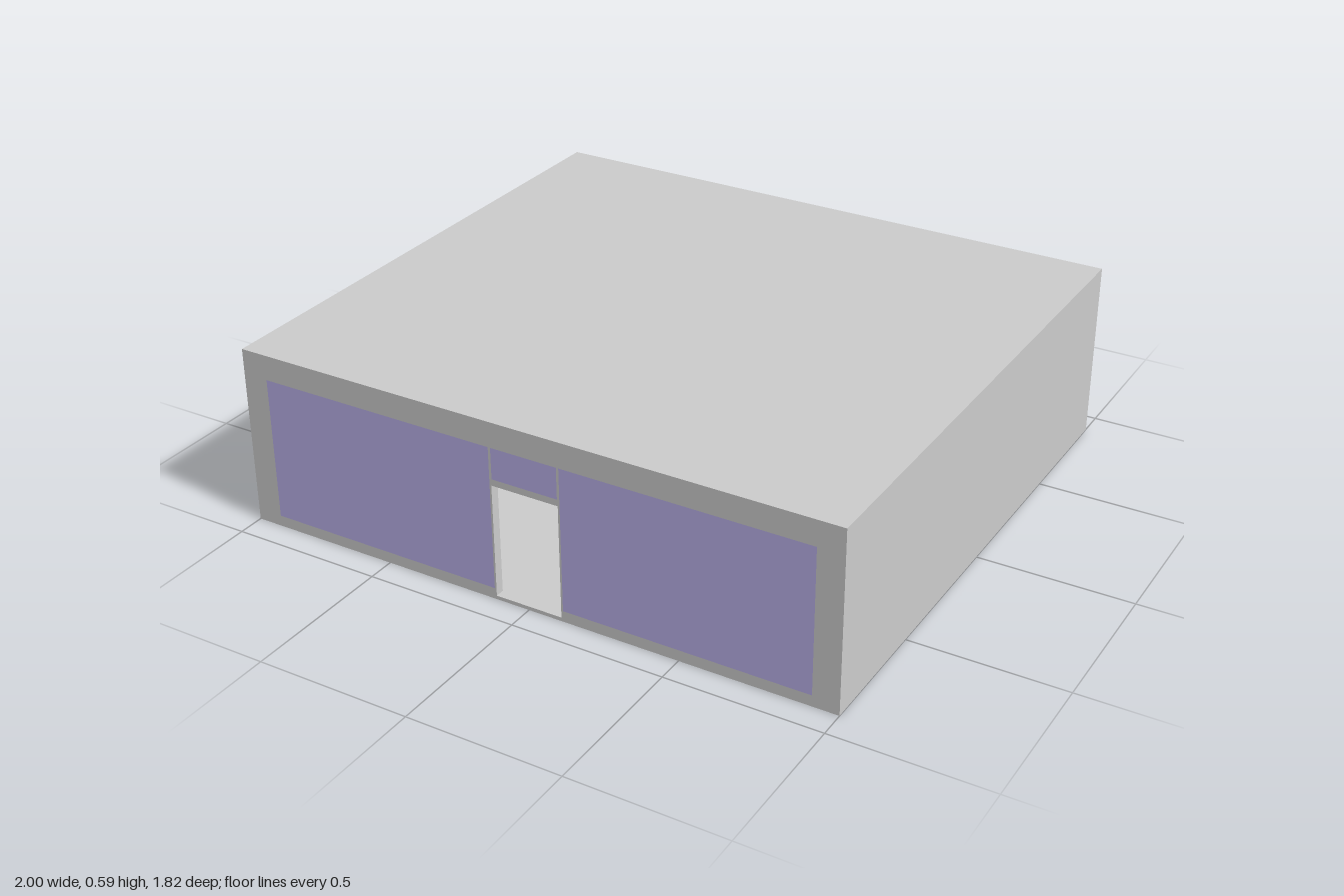
import * as THREE from 'three';

const W = 2, H = 0.588, D = 1.824, T = 0.03; // overall size and wall thickness
const FRONT = D / 2, FLOOR = 0.012, ROOF = 0.03;

// Openings as [x0, x1, y0, y1]
const DOOR = [-0.112, 0.112, FLOOR, 0.383];
const WINDOWS = [
  ['rightWindow', [-0.916, -0.118, 0.036, 0.506]],
  ['leftWindow', [0.118, 0.916, 0.036, 0.506]],
  ['transomWindow', [-0.11, 0.11, 0.404, 0.506]],
];

const wallMaterial = new THREE.MeshStandardMaterial({ color: 0xcccccc });
const glassMaterial = new THREE.MeshStandardMaterial({ color: 0xb9b0e8 });

// Box without some of its faces (0..5 = +x -x +y -y +z -z), optionally facing inward
function openBox(w, h, d, dropped, inward = false) {
  const box = new THREE.BoxGeometry(w, h, d);
  const all = Array.from(box.index.array);
  const kept = all.filter((_, i) => !dropped.includes(Math.floor(i / 6)));
  if (inward) kept.reverse();
  box.clearGroups();
  box.setIndex(kept);
  const geometry = box.toNonIndexed();
  geometry.computeVertexNormals();
  return geometry;
}

function rectanglePath(path, [x0, x1, y0, y1]) {
  path.moveTo(x0, y0).lineTo(x1, y0).lineTo(x1, y1).lineTo(x0, y1).closePath();
  return path;
}

// Flat wall sheet with the door and window openings cut out
function facade(bounds) {
  const shape = rectanglePath(new THREE.Shape(), bounds);
  for (const hole of [DOOR, ...WINDOWS.map(([, r]) => r)]) {
    shape.holes.push(rectanglePath(new THREE.Path(), hole));
  }
  return new THREE.ShapeGeometry(shape);
}

export function createModel() {
  const building = new THREE.Group();
  building.name = 'building';

  const add = (name, geometry, x, y, z, material = wallMaterial) => {
    const mesh = new THREE.Mesh(geometry, material);
    mesh.name = name;
    mesh.position.set(x, y, z);
    building.add(mesh);
    return mesh;
  };

  // Outer walls, roof and base
  add('outerShell', openBox(W, H, D, [4]), 0, H / 2, 0);
  add('frontWall', facade([-W / 2, W / 2, 0, H]), 0, 0, FRONT);

  // Hollow room behind the doorway
  const roomHeight = H - FLOOR - ROOF;
  add('room', openBox(W - 2 * T, roomHeight, D - 2 * T, [4], true), 0, FLOOR + roomHeight / 2, 0);
  const lining = facade([-W / 2 + T, W / 2 - T, FLOOR, H - ROOF]);
  lining.index.array.reverse();
  lining.computeVertexNormals();
  add('frontWallLining', lining, 0, 0, FRONT - T);

  // Jambs, head and sill of the open doorway
  const [dx0, dx1, dy0, dy1] = DOOR;
  add('doorway', openBox(dx1 - dx0, dy1 - dy0, T, [4, 5], true), 0, (dy0 + dy1) / 2, FRONT - T / 2);

  // Glass flush with the wall
  for (const [name, [x0, x1, y0, y1]] of WINDOWS) {
    add(name, new THREE.BoxGeometry(x1 - x0, y1 - y0, T),
      (x0 + x1) / 2, (y0 + y1) / 2, FRONT - T / 2, glassMaterial);
  }

  return building;
}
